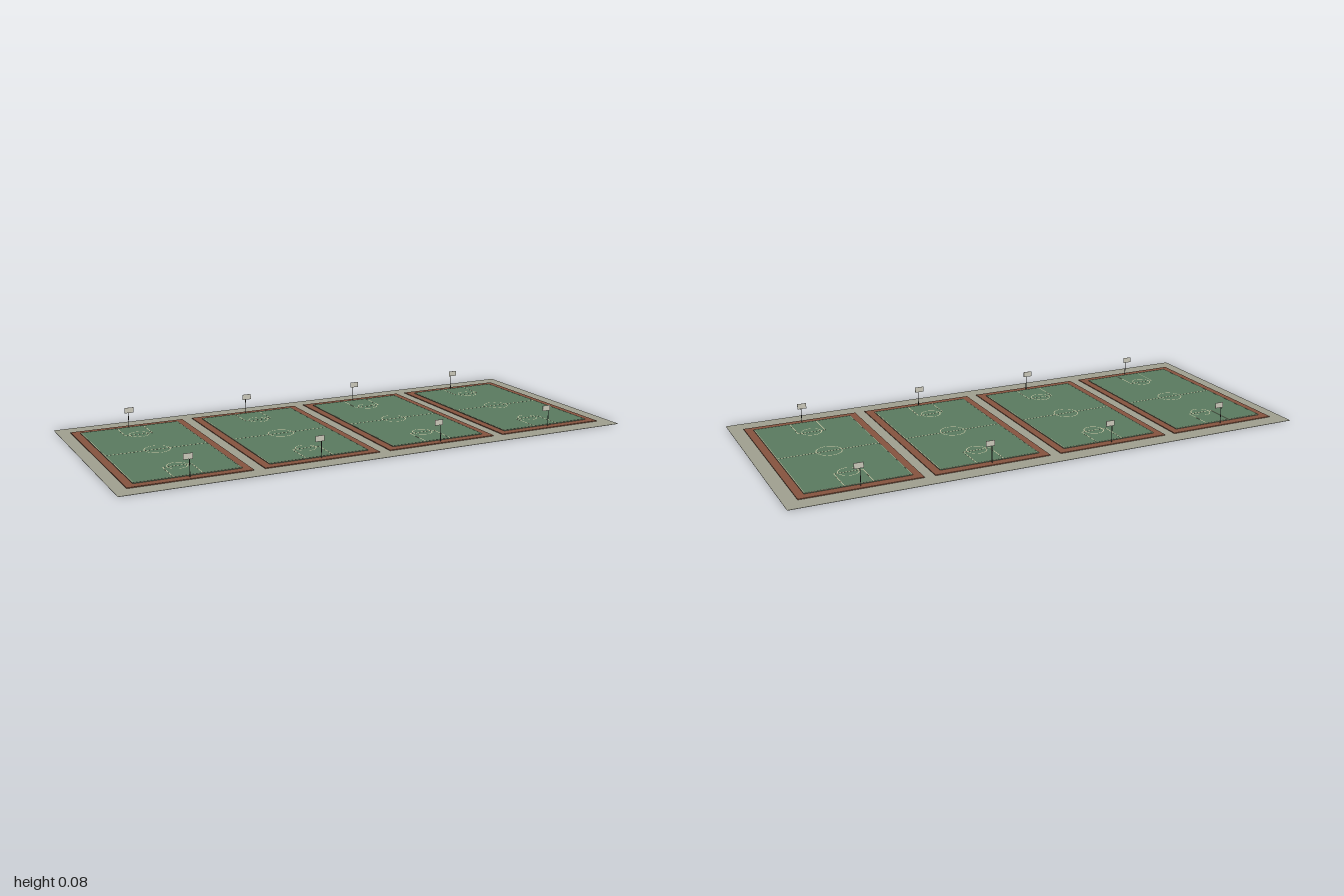
import * as THREE from 'three';

const mat = (color) => new THREE.MeshStandardMaterial({ color });
const base = mat(0xa0a090), border = mat(0x86543f), court = mat(0x5a7b60);
const paint = mat(0xc4c1a0), steel = mat(0x44443f), board = mat(0xc8c6b8);

function box(parent, name, material, [w, h, d], [x, y, z]) {
  const mesh = new THREE.Mesh(new THREE.BoxGeometry(w, h, d), material);
  mesh.name = name;
  mesh.position.set(x, y, z);
  parent.add(mesh);
  return mesh;
}

const LINE = 0.003, TOP = 0.007;

// Painted straight line lying on the court
function line(parent, name, w, d, x, z) {
  box(parent, name, paint, [w, 0.0006, d], [x, TOP, z]);
}

// Painted circle lying on the court
function circle(parent, name, radius, z) {
  const geo = new THREE.RingGeometry(radius - LINE / 2, radius + LINE / 2, 48).rotateX(-Math.PI / 2);
  const mesh = new THREE.Mesh(geo, paint);
  mesh.name = name;
  mesh.position.set(0, TOP + 0.0003, z);
  parent.add(mesh);
}

// One court: border slab, playing surface, markings and two hoop stands
function createCourt() {
  const g = new THREE.Group();
  const hw = 0.192, hd = 0.341, keyHalf = 0.052, keyZ = 0.222;
  box(g, 'border', border, [0.444, 0.004, 0.748], [0, 0.002, 0]);
  box(g, 'playingSurface', court, [hw * 2, 0.003, hd * 2], [0, 0.0055, 0]);

  line(g, 'halfwayLine', hw * 2, LINE, 0, 0);
  circle(g, 'centreCircle', 0.047, 0);
  for (const s of [-1, 1]) {
    line(g, 'sideLine', LINE, hd * 2, s * (hw - LINE / 2), 0);
    line(g, 'endLine', hw * 2, LINE, 0, s * (hd - LINE / 2));
    line(g, 'freeThrowLine', keyHalf * 2, LINE, 0, s * keyZ);
    for (const k of [-1, 1]) {
      line(g, 'keySide', LINE, hd - keyZ, k * keyHalf, s * (hd + keyZ) / 2);
    }
    circle(g, 'freeThrowCircle', 0.037, s * keyZ);

    // Hoop stand
    const pole = new THREE.Mesh(new THREE.CylinderGeometry(0.0013, 0.0013, 0.063, 10), steel);
    pole.name = 'pole';
    pole.position.set(0, 0.0345, s * 0.355);
    g.add(pole);
    box(g, 'backboard', board, [0.035, 0.021, 0.0015], [0, 0.0725, s * 0.342]);
  }
  return g;
}

export function createModel() {
  const model = new THREE.Group();
  model.name = 'sportsCourts';
  box(model, 'ground', base, [2, 0.001, 0.882], [0, 0.0005, 0]);
  [-0.73, -0.245, 0.241, 0.725].forEach((x, i) => {
    const c = createCourt();
    c.name = `court${i + 1}`;
    c.position.x = x;
    model.add(c);
  });
  return model;
}
